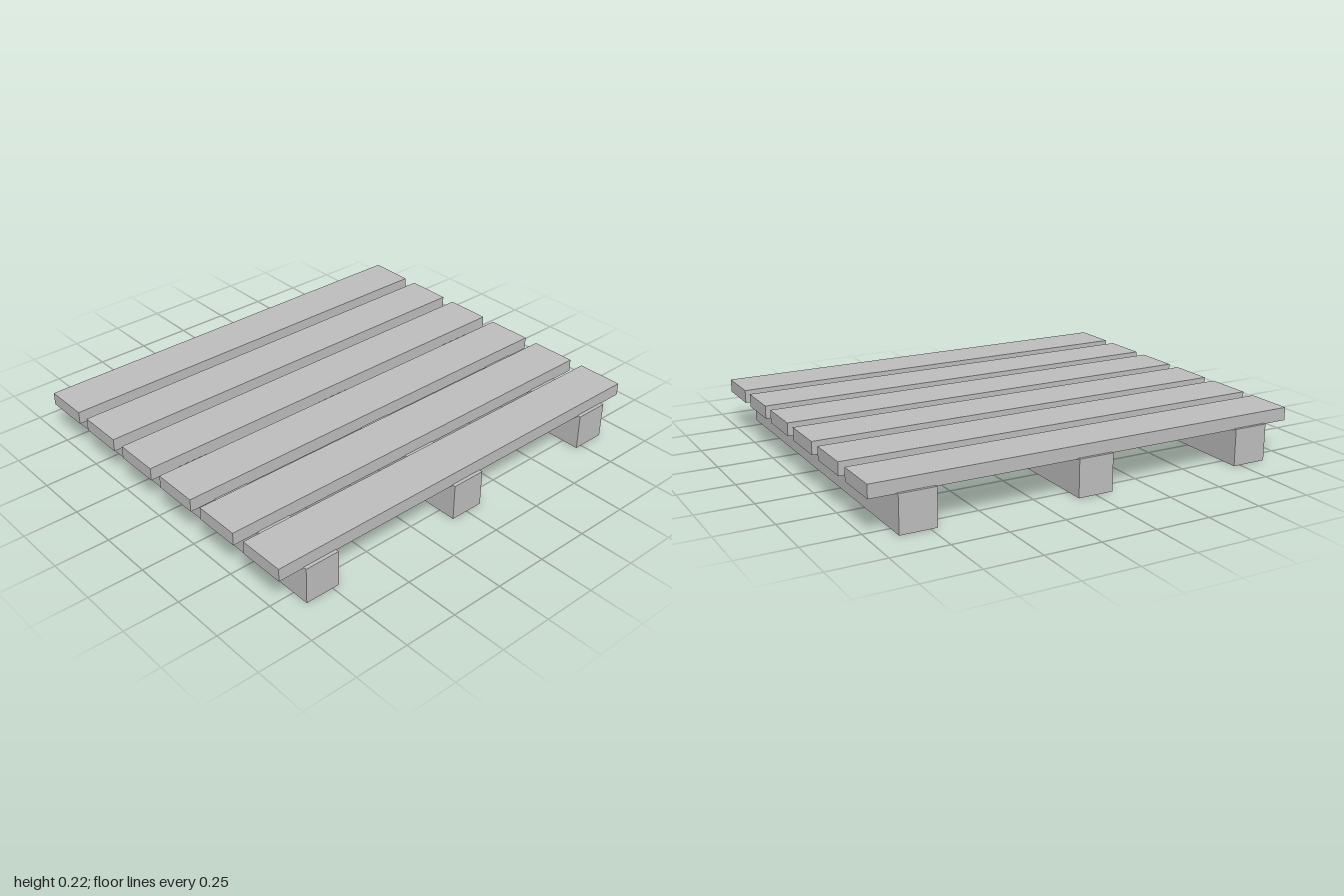
import * as THREE from 'three';

export function createModel() {
  const model = new THREE.Group();
  model.name = 'pallet';

  const greyWood = new THREE.MeshStandardMaterial({ color: 0xbcbcbc });
  greyWood.name = 'grey wood';

  function addBoard(name, [w, h, d], [x, y, z]) {
    const board = new THREE.Mesh(new THREE.BoxGeometry(w, h, d), greyWood);
    board.name = name;
    board.position.set(x, y, z);
    model.add(board);
  }

  // Three bearers running across the width
  const bearerHeight = 0.168;
  for (const z of [-0.8, 0, 0.8]) {
    addBoard('bearer', [1.66, bearerHeight, 0.163], [0, bearerHeight / 2, z]);
  }

  // Six deck slats running front to back, slightly let into the bearers
  const slatBottom = 0.164, slatTop = 0.223, pitch = 0.283;
  for (let i = 0; i < 6; i++) {
    addBoard('deckSlat', [0.216, slatTop - slatBottom, 2],
      [(i - 2.5) * pitch - 0.002, (slatBottom + slatTop) / 2, 0]);
  }

  return model;
}
